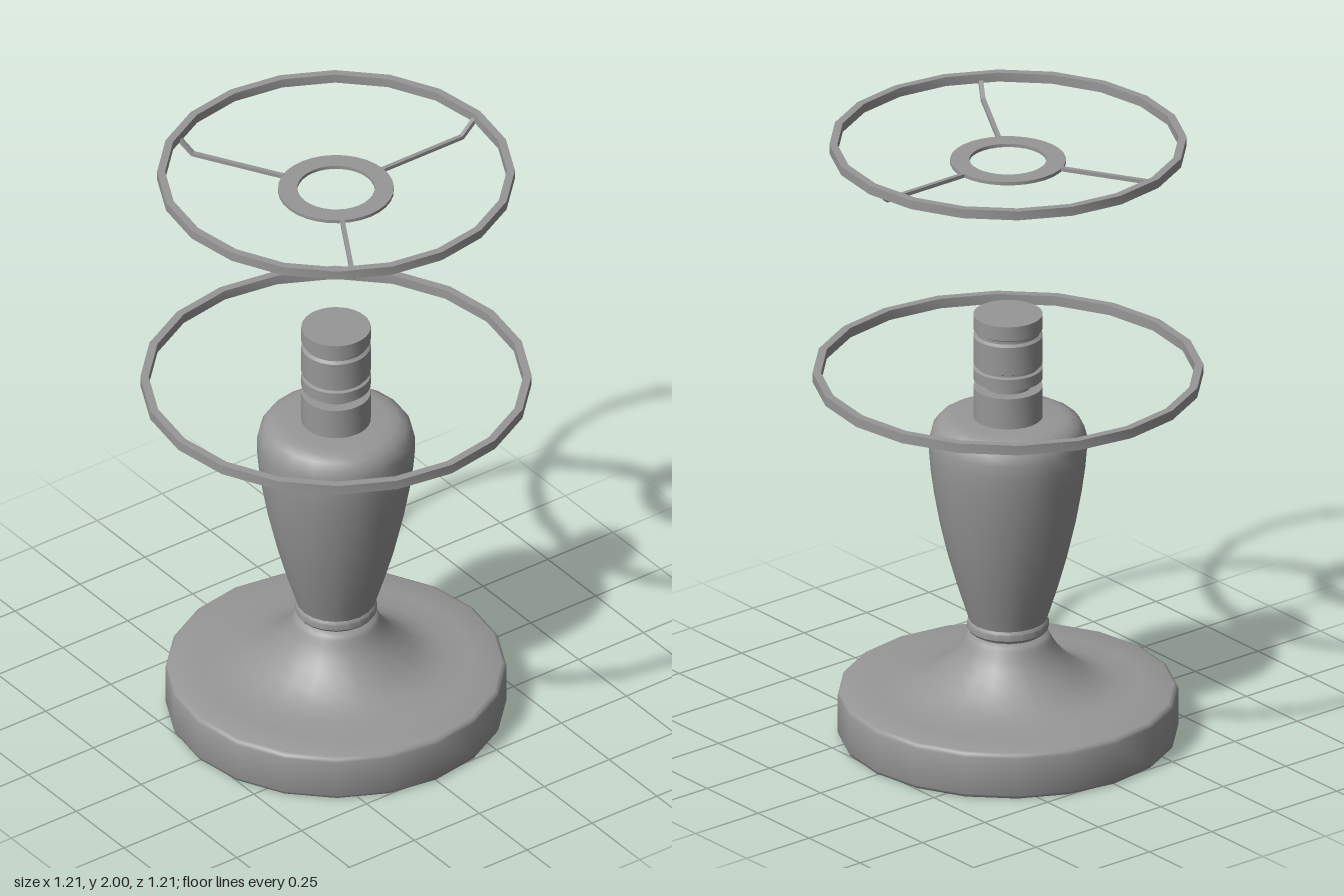
import * as THREE from 'three';
import { toCreasedNormals } from 'three/addons/utils/BufferGeometryUtils.js';

const material = new THREE.MeshStandardMaterial({ color: 0x979797, side: THREE.DoubleSide });

// Turned part from [radius, height] points, smooth except where the profile bends beyond the crease angle
function turned(name, points, sides = 20, crease = 0.6) {
  const profile = points.map(([r, y]) => new THREE.Vector2(r, y));
  const geometry = toCreasedNormals(new THREE.LatheGeometry(profile, sides), crease);
  const mesh = new THREE.Mesh(geometry, material);
  mesh.name = name;
  return mesh;
}

// Flat band with a rectangular section
function band(name, inner, outer, bottom, top, sides) {
  return turned(name, [[inner, bottom], [outer, bottom], [outer, top], [inner, top], [inner, bottom]], sides);
}

// Spoke running out from the hub, then bending up to the ring; drawn in its side plane
function spoke(angle) {
  const w = 0.014;
  const shape = new THREE.Shape([
    [0.175, 1.926], [0.487, 1.926], [0.534, 1.97], [0.534, 1.988], [0.482, 1.938], [0.175, 1.938],
  ].map(([x, y]) => new THREE.Vector2(x, y)));
  const geometry = new THREE.ExtrudeGeometry(shape, { depth: w, bevelEnabled: false });
  geometry.translate(0, 0, -w / 2);
  const mesh = new THREE.Mesh(geometry, material);
  mesh.name = 'shadeSpoke';
  mesh.rotation.y = angle;
  return mesh;
}

export function createModel() {
  const lamp = new THREE.Group();
  lamp.name = 'tableLamp';

  // Hollow foot with softly rounded rim, open underneath, flaring up to the neck
  lamp.add(turned('foot', [
    [0.518, 0], [0.525, 0.004], [0.529, 0.014], [0.529, 0.138], [0.525, 0.148], [0.515, 0.153],
    [0.42, 0.156], [0.34, 0.162], [0.285, 0.177], [0.238, 0.205], [0.192, 0.243], [0.162, 0.277],
    [0.143, 0.307], [0.135, 0.325], [0.127, 0.338], [0.11, 0.345],
  ], 20, 1));

  // Collar between foot and body
  lamp.add(turned('collar', [
    [0, 0.343], [0.11, 0.343], [0.112, 0.35], [0.122, 0.353], [0.127, 0.36],
    [0.127, 0.38], [0.122, 0.388], [0.11, 0.39],
  ]));

  // Vase-shaped body
  lamp.add(turned('body', [
    [0.11, 0.385], [0.122, 0.39], [0.135, 0.43], [0.16, 0.51], [0.188, 0.61], [0.211, 0.71],
    [0.229, 0.81], [0.24, 0.89], [0.245, 0.95], [0.245, 1.0], [0.237, 1.03],
    [0.221, 1.052], [0.195, 1.066], [0.165, 1.07], [0, 1.07],
  ]));

  // Bulb socket with a narrow neck and two grooves
  lamp.add(turned('socket', [
    [0.108, 1.07], [0.108, 1.172], [0.072, 1.172], [0.072, 1.2], [0.108, 1.2],
    [0.108, 1.237], [0.098, 1.241], [0.098, 1.248], [0.108, 1.253], [0.108, 1.345],
    [0.098, 1.352], [0.098, 1.362], [0.108, 1.368], [0.108, 1.415], [0, 1.415],
  ], 32));

  // Shade frame: lower ring, upper ring, hub and three spokes
  const frame = new THREE.Group();
  frame.name = 'shadeFrame';
  frame.add(band('lowerRing', 0.581, 0.607, 1.198, 1.23, 20));
  frame.add(band('upperRing', 0.53, 0.555, 1.97, 2, 20));
  frame.add(band('shadeHub', 0.12, 0.18, 1.926, 1.937, 32));
  for (let i = 0; i < 3; i++) frame.add(spoke(Math.PI / 2 + (i * Math.PI * 2) / 3));
  lamp.add(frame);

  return lamp;
}
